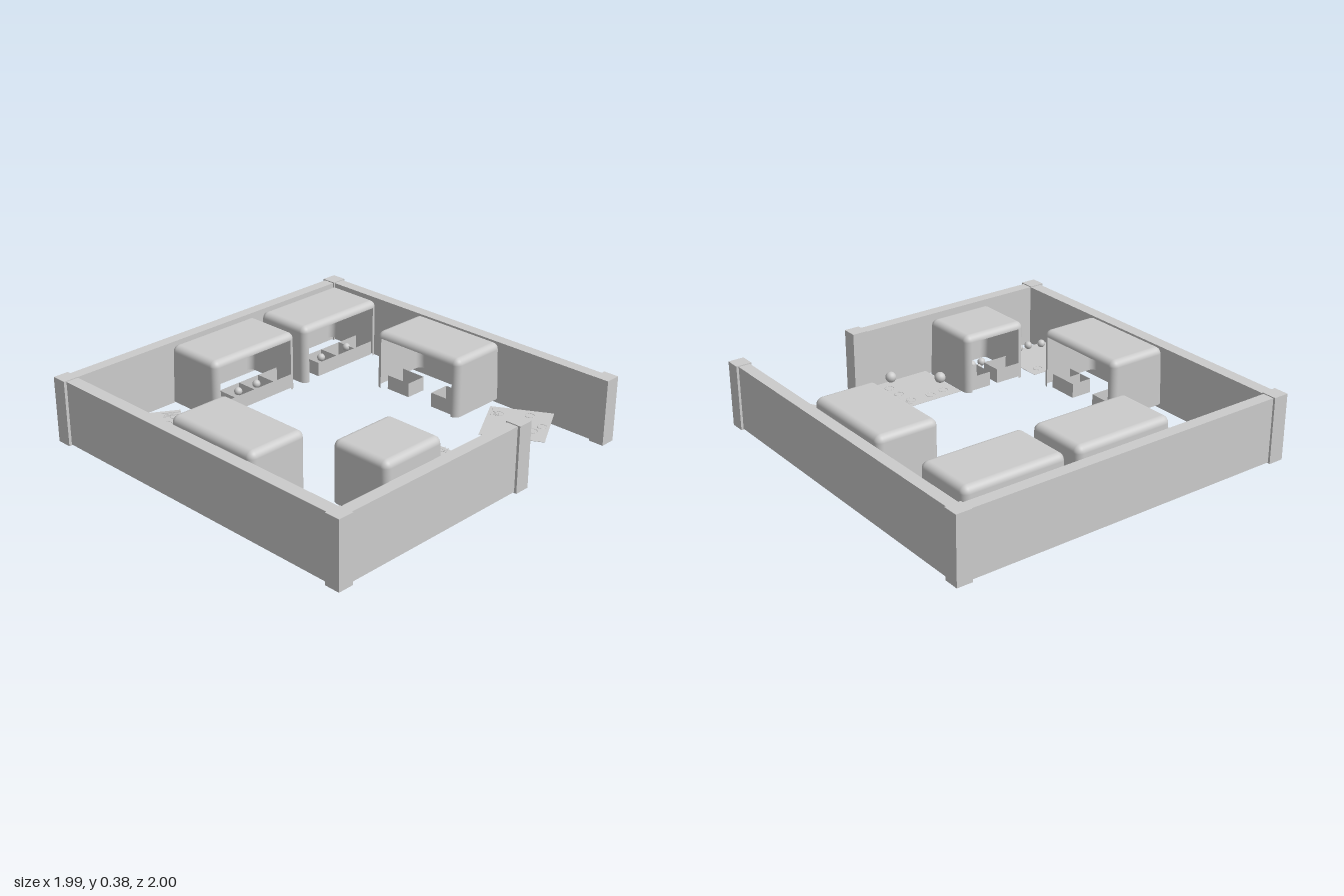
import * as THREE from 'three';
import { RoundedBoxGeometry } from 'three/addons/geometries/RoundedBoxGeometry.js';

const mat = new THREE.MeshStandardMaterial({ color: 0xcccccc, side: THREE.DoubleSide });
const FLOOR = 0.05;

function add(parent, name, geo, x = 0, y = 0, z = 0) {
  const mesh = new THREE.Mesh(geo, mat);
  mesh.name = name;
  mesh.position.set(x, y, z);
  parent.add(mesh);
  return mesh;
}

// Box without some of its faces (0..5 = +x -x +y -y +z -z)
function openBox(w, h, d, skip) {
  const geo = new THREE.BoxGeometry(w, h, d);
  const idx = Array.from(geo.index.array);
  geo.setIndex(idx.filter((_, i) => !skip.includes(Math.floor(i / 6))));
  geo.clearGroups();
  return geo;
}

// Wall or post given by its plan rectangle, open underneath
function wall(parent, name, x0, x1, z0, z1, h, y0 = 0) {
  add(parent, name, openBox(x1 - x0, h - y0, z1 - z0, [3]),
    (x0 + x1) / 2, (h + y0) / 2, (z0 + z1) / 2);
}

// Rounded hood, open at the front (+z) and below, with a leaning back
function hoodGeometry(w, d) {
  const top = 0.376, r = 0.036, h = top - FLOOR + 0.1;
  const src = new RoundedBoxGeometry(w, h, d, 5, r);
  const p = src.attributes.position, n = src.attributes.normal;
  const pos = [], nor = [];
  for (let i = 0; i < p.count; i += 3) {
    const tri = [i, i + 1, i + 2];
    if (tri.every(k => p.getZ(k) > d / 2 - 1e-4)) continue;
    if (tri.every(k => p.getY(k) < -h / 2 + r + 1e-4) &&
        tri.some(k => p.getY(k) < -h / 2 + r - 1e-4)) continue;
    for (const k of tri) {
      const y = Math.max(FLOOR, p.getY(k) + top - h / 2);
      const back = p.getZ(k) < 0 ? 0.018 * (y - FLOOR) / (top - FLOOR) : 0;
      pos.push(p.getX(k), y, p.getZ(k) + back);
      nor.push(n.getX(k), n.getY(k), n.getZ(k));
    }
  }
  const geo = new THREE.BufferGeometry();
  geo.setAttribute('position', new THREE.Float32BufferAttribute(pos, 3));
  geo.setAttribute('normal', new THREE.Float32BufferAttribute(nor, 3));
  return geo;
}

// Row of open bins centred on x
function bins(parent, x, z, width, count) {
  const g = new THREE.Group();
  g.name = 'bins';
  g.position.set(x, FLOOR + 0.04, z);
  parent.add(g);
  add(g, 'binFrame', openBox(width, 0.08, 0.12, [2, 3]));
  for (let i = 1; i < count; i++) {
    add(g, 'binDivider', new THREE.PlaneGeometry(0.12, 0.08), -width / 2 + width * i / count)
      .rotation.y = Math.PI / 2;
  }
  return g;
}

// Stall = hood plus bins; each bin row is [x, width, count]
function stall(parent, x, z, width, turn, rows) {
  const g = new THREE.Group();
  g.name = 'stall';
  g.position.set(x, 0, z);
  g.rotation.y = turn;
  parent.add(g);
  add(g, 'hood', hoodGeometry(width, 0.36));
  for (const [bx, bw, count] of rows) bins(g, bx, 0.1, bw, count);
  return g;
}

// Thin mat with flat rings and small round goods, in local x/z
function matSet(parent, x, z, turn, rings, balls, ballRadius) {
  const g = new THREE.Group();
  g.name = 'matSet';
  g.position.set(x, 0.07, z);
  g.rotation.y = turn;
  parent.add(g);
  add(g, 'mat', new THREE.BoxGeometry(0.335, 0.002, 0.335));
  for (const [rx, rz] of rings) {
    add(g, 'ring', new THREE.TorusGeometry(0.025, 0.002, 6, 24), rx, 0.001, rz)
      .rotation.x = Math.PI / 2;
  }
  for (const [bx, bz] of balls) {
    add(g, 'ball', new THREE.SphereGeometry(ballRadius, 16, 12), bx, ballRadius, bz);
  }
  return g;
}

// Little bundle of twigs
function twigs(parent, x, z, length) {
  for (let i = 0; i < 5; i++) {
    add(parent, 'twig', new THREE.BoxGeometry(length, 0.003, 0.003), x + (i % 2) * 0.01, 0.003, z + i * 0.009)
      .rotation.y = 0.25 * (i % 3);
  }
}

export function createModel() {
  const model = new THREE.Group();
  model.name = 'walledMarket';

  // Enclosing walls
  wall(model, 'backWall', -0.91, 0.92, -0.99, -0.925, 0.355, 0.005);
  wall(model, 'leftWall', 0.915, 0.98, -0.925, 0.92, 0.355, 0.005);
  wall(model, 'rightWall', -0.98, -0.91, -0.925, 0.92, 0.355, 0.005);
  wall(model, 'frontWall', -0.91, 0.21, 0.92, 0.985, 0.355, 0.005);

  // Posts at the corners and beside the entrance
  for (const [x, z] of [[-0.953, -0.96], [0.95, -0.96], [-0.953, 0.957], [0.95, 0.957], [0.252, 0.957]]) {
    wall(model, 'post', x - 0.043, x + 0.043, z - 0.042, z + 0.042, 0.36);
  }

  // Stalls facing the courtyard
  const q = Math.PI / 2;
  const backA = stall(model, -0.065, -0.705, 0.57, 0, [[0, 0.55, 4]]);
  const backB = stall(model, 0.57, -0.705, 0.57, 0, [[0.05, 0.42, 3]]);
  stall(model, -0.72, 0.05, 0.57, q, [[0.19, 0.17, 2], [-0.14, 0.17, 2]]);
  stall(model, 0.72, 0.05, 0.57, -q, [[0.17, 0.15, 1], [-0.14, 0.15, 1]]);
  const front = stall(model, -0.33, 0.663, 0.385, Math.PI, [[0.1, 0.15, 1], [-0.1, 0.15, 1]]);

  // Goods in the bins and on the front stall's tray
  for (const x of [-0.2, -0.06, 0.07]) add(backA, 'goods', new THREE.SphereGeometry(0.022, 14, 10), x, 0.12, 0.1);
  for (const x of [-0.08, 0.12]) add(backB, 'goods', new THREE.SphereGeometry(0.022, 14, 10), x, 0.12, 0.1);
  for (let i = 0; i < 8; i++) {
    add(front, 'trayGoods', new THREE.SphereGeometry(0.022, 14, 10),
      -0.1 + (i % 4) * 0.065, 0.075, -0.08 + Math.floor(i / 4) * 0.06);
  }

  // Mats laid out between the stalls
  const m = matSet(model, -0.65, -0.675, -0.55, [[0.08, -0.02], [0.13, -0.09], [0.06, 0.11]], [], 0);
  twigs(m, 0.11, -0.14, 0.09);
  twigs(m, 0.14, 0.04, 0.04);
  const n = matSet(model, 0.685, 0.62, 0.51, [[-0.11, -0.04], [-0.1, 0.04], [-0.06, 0.09], [0.0, 0.13], [0.11, 0.05], [0.09, -0.11]], [], 0);
  twigs(n, 0.1, -0.15, 0.07);
  matSet(model, -0.725, 0.597, 0, [[0.1, -0.11]],
    [[-0.105, 0.118], [-0.03, 0.143], [0.035, 0.143], [0.113, 0.11]], 0.022);
  const c = matSet(model, 0.058, 0.667, 0, [[-0.1, -0.1], [-0.01, -0.11], [0.11, -0.1], [0.12, 0.0], [0.12, 0.09]],
    [[-0.143, -0.007], [0.067, 0.158]], 0.03);
  twigs(c, 0.145, -0.14, 0.035);
  return model;
}
